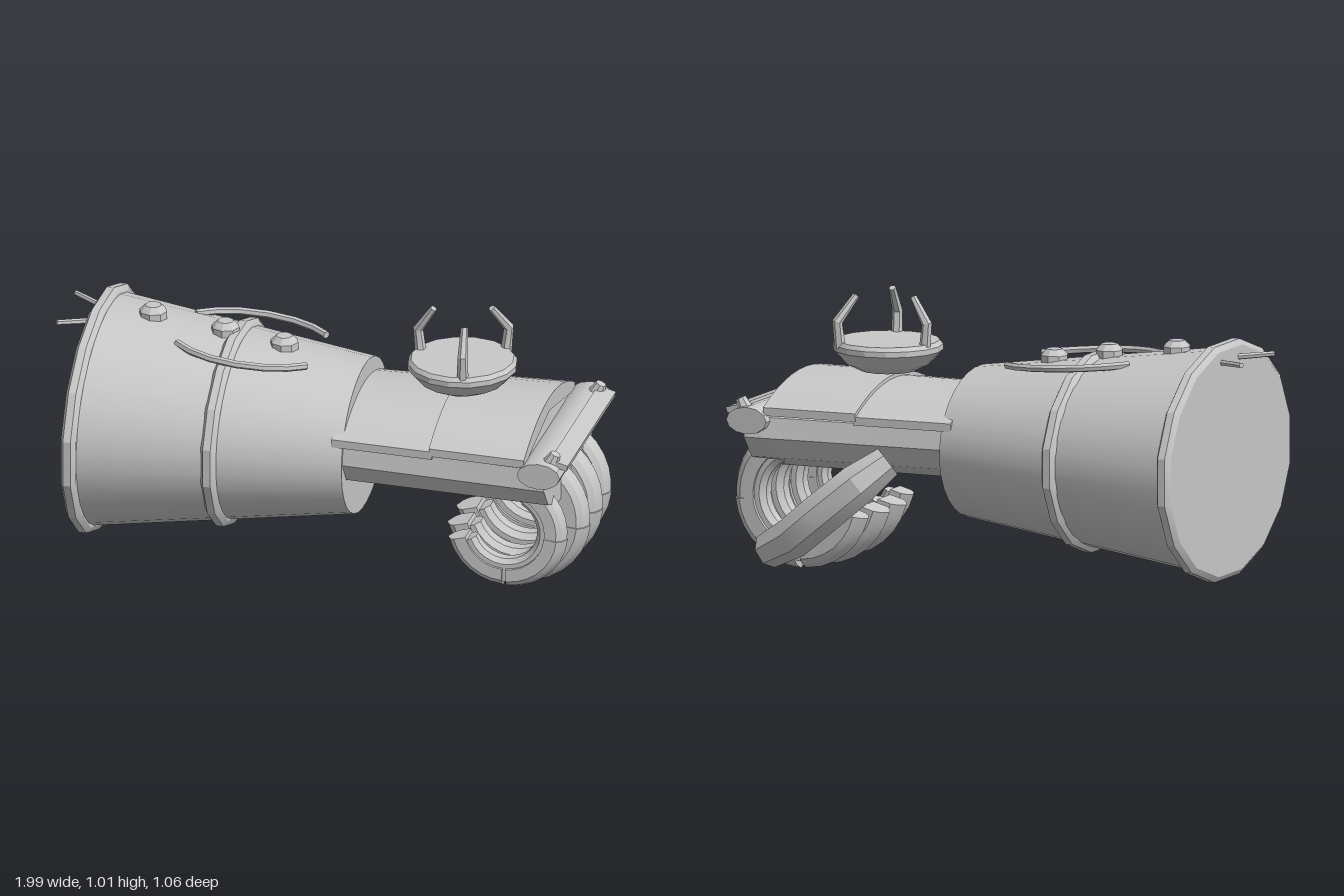
import * as THREE from 'three';
import { toCreasedNormals } from 'three/addons/utils/BufferGeometryUtils.js';

const metal = new THREE.MeshStandardMaterial({ color: 0xc8c8c8 });
metal.name = 'light grey metal';

function add(parent, name, geo) {
  const mesh = new THREE.Mesh(geo, metal);
  mesh.name = name;
  parent.add(mesh);
  return mesh;
}

// Closed solid through matching rings of [x, y, z] points, capped at both ends
function loft(rings, crease = 0.35) {
  const v = [], n = rings[0].length;
  const tri = (a, b, c) => v.push([a, b, c]);
  for (let i = 0; i < rings.length - 1; i++) {
    for (let j = 0; j < n; j++) {
      const k = (j + 1) % n, p = rings[i], q = rings[i + 1];
      tri(p[j], q[j], q[k]);
      tri(p[j], q[k], p[k]);
    }
  }
  const cap = (r, flip) => {
    const shape = r.map(p => new THREE.Vector3(...p));
    const mid = shape.reduce((s, p) => s.add(p), new THREE.Vector3()).divideScalar(n).toArray();
    for (let j = 0; j < n; j++) {
      const k = (j + 1) % n;
      flip ? tri(mid, r[k], r[j]) : tri(mid, r[j], r[k]);
    }
  };
  cap(rings[0], false);
  cap(rings[rings.length - 1], true);
  // Turn the solid outward if its signed volume is negative
  let vol = 0;
  const A = new THREE.Vector3(), B = new THREE.Vector3(), C = new THREE.Vector3();
  for (const [a, b, c] of v) vol += A.fromArray(a).dot(B.fromArray(b).cross(C.fromArray(c)));
  const pos = v.flatMap(([a, b, c]) => (vol < 0 ? [...a, ...c, ...b] : [...a, ...b, ...c]));
  const geo = new THREE.BufferGeometry();
  geo.setAttribute('position', new THREE.Float32BufferAttribute(pos, 3));
  return toCreasedNormals(geo, crease);
}

// Elliptical ring around the forearm axis; rz is the half width
function ellipse(x, rz, sides) {
  return Array.from({ length: sides }, (_, i) => {
    const a = ((i + 0.5) / sides) * Math.PI * 2;
    return [x, 0.485 + Math.cos(a) * rz * 0.815, Math.sin(a) * rz];
  });
}

// Bent rod through points, with one radius per point
function rod(points, radii, sides = 6) {
  const P = points.map(p => new THREE.Vector3(...p));
  const ref = new THREE.Vector3(0.31, 0.2, 0.93).normalize();
  return loft(P.map((p, i) => {
    const t = P[Math.min(i + 1, P.length - 1)].clone().sub(P[Math.max(i - 1, 0)]).normalize();
    const u = ref.clone().cross(t).normalize(), w = t.clone().cross(u);
    return Array.from({ length: sides }, (_, j) => {
      const a = (j / sides) * Math.PI * 2;
      return p.clone().addScaledVector(u, Math.cos(a) * radii[i])
        .addScaledVector(w, Math.sin(a) * radii[i]).toArray();
    });
  }));
}

function buildCuff(root) {
  const cuff = new THREE.Group();
  cuff.name = 'cuff';
  root.add(cuff);
  add(cuff, 'cuffBody', loft([[-0.86, 0.507], [0.12, 0.34]].map(([x, r]) => ellipse(x, r, 32))));
  const band = (name, x, r, h) => add(cuff, name,
    loft([[-h, r - 0.025], [-h * 0.5, r], [h * 0.5, r], [h, r - 0.025]].map(([d, s]) => ellipse(x + d, s, 16))));
  band('rearBand', -0.857, 0.54, 0.028);
  band('middleBand', -0.357, 0.452, 0.028);

  // Rivets along the top
  const profile = [[0, -0.04], [0.052, -0.04], [0.052, 0.008], [0.03, 0.03], [0, 0.03]];
  for (const [x, y] of [[-0.67, 0.883], [-0.4, 0.85], [-0.18, 0.815]]) {
    const geo = new THREE.LatheGeometry(profile.map(p => new THREE.Vector2(...p)), 8);
    add(cuff, 'rivet', toCreasedNormals(geo, 0.35)).position.set(x, y, 0);
  }
  for (const s of [-1, 1]) {
    // Curved side handles and rear prongs
    const path = [[-0.545, 0.14], [-0.48, 0.19], [-0.4, 0.223], [-0.3, 0.235], [-0.2, 0.222], [-0.12, 0.19], [-0.06, 0.145]];
    add(cuff, 'curvedRail', rod(path.map(([x, z]) => [x, 0.793 - x * 0.075, z * s]), path.map(() => 0.014)));
    add(cuff, 'rearProng', rod([[-0.995, 0.865, 0.14 * s], [-0.93, 0.86, 0.1 * s], [-0.87, 0.855, 0.065 * s]], [0.01, 0.011, 0.011]));
  }
}

function buildHand(root) {
  const hand = new THREE.Group();
  hand.name = 'hand';
  root.add(hand);
  // Palm block with a crowned top and tapering underside
  const section = (x, w, crown) => {
    const ring = [];
    for (let i = 0; i <= 10; i++) {
      const t = i / 5 - 1;
      ring.push([x, 0.575 + crown * (1 - t * t), t * w]);
    }
    ring.push([x, 0.5, w + 0.015], [x, 0.42, w * 0.86], [x, 0.37, w * 0.45],
      [x, 0.37, -w * 0.45], [x, 0.42, -w * 0.86], [x, 0.5, -w - 0.015]);
    return ring;
  };
  add(hand, 'palm', loft([section(0.1, 0.31, 0.09), section(0.8, 0.355, 0.09), section(0.81, 0.357, 0), section(0.885, 0.36, 0)]));

  // Overlapping curved back plates
  const plate = (x, w, y) => {
    const arc = Array.from({ length: 13 }, (_, i) => i / 6 - 1);
    const line = d => arc.map(t => [x, y + d + 0.095 * (1 - t * t), t * w]);
    return [...line(0), ...line(-0.03).reverse()];
  };
  add(hand, 'rearBackPlate', loft([plate(0.08, 0.33, 0.6), plate(0.46, 0.35, 0.6)]));
  add(hand, 'frontBackPlate', loft([plate(0.45, 0.352, 0.613), plate(0.81, 0.372, 0.613)]));

  // Knuckle roll, guard strip and end studs
  const roll = new THREE.CylinderGeometry(0.08, 0.08, 0.78, 12).toNonIndexed();
  roll.rotateX(Math.PI / 2);
  roll.scale(1, 0.62, 1);
  add(hand, 'knuckleRoll', toCreasedNormals(roll, 0.6)).position.set(0.868, 0.563, 0);
  const strip = add(hand, 'guardStrip', new THREE.BoxGeometry(0.07, 0.022, 0.7));
  strip.position.set(0.932, 0.598, 0);
  strip.rotation.z = -0.25;
  for (const s of [-1, 1]) {
    const stud = add(hand, 'endStud', toCreasedNormals(new THREE.CylinderGeometry(0.02, 0.036, 0.06, 8), 0.35));
    stud.position.set(0.905, 0.608, 0.33 * s);
    stud.rotation.z = -0.45;
  }
}

// Curled finger: a core swept round an arc, covered by ridged plates
function buildFinger(root, z, w, scale) {
  const finger = new THREE.Group();
  finger.name = 'finger';
  root.add(finger);
  const sweep = (profile, from, to) => {
    const steps = Math.max(2, Math.ceil(Math.abs(to - from) / 13));
    return loft(Array.from({ length: steps + 1 }, (_, i) => {
      const a = THREE.MathUtils.degToRad(from + ((to - from) * i) / steps);
      return profile.map(([r, d]) => [0.71 + Math.cos(a) * r * scale, 0.282 + Math.sin(a) * r * scale, z + d]);
    }));
  };
  const c = w * 0.75;
  add(finger, 'fingerCore', sweep([[0.25, c], [0.165, c], [0.145, c * 0.5], [0.145, -c * 0.5], [0.165, -c], [0.25, -c]], 60, -160));
  for (const [from, to, k, g] of [[60, -9, 0.93, 0], [-6, -88, 1, 0.003], [-93, -165, 0.96, 0]]) {
    const e = w * k;
    add(finger, 'fingerPlate', sweep([[0.28 + g, 0], [0.262 + g, e * 0.7], [0.24 + g, e], [0.185, e],
      [0.185, -e], [0.24 + g, -e], [0.262 + g, -e * 0.7]], from, to));
  }
}

function buildTopDish(root) {
  const dish = new THREE.Group();
  dish.name = 'topDish';
  dish.position.set(0.485, 0, 0);
  root.add(dish);
  const profile = [[0, 0.718], [0.1, 0.718], [0.155, 0.745], [0.2, 0.795], [0.2, 0.815], [0.188, 0.83], [0, 0.83]];
  add(dish, 'dish', toCreasedNormals(new THREE.LatheGeometry(profile.map(p => new THREE.Vector2(...p)), 16), 0.35));
  // Inward-bent prongs
  for (const [bx, bz, tx, tz] of [[-0.172, -0.045, -0.115, -0.03], [0.045, 0.172, 0.037, 0.115], [0.132, -0.138, 0.087, -0.085]]) {
    add(dish, 'dishProng', rod([[bx * 0.97, 0.81, bz * 0.97], [bx * 1.03, 0.905, bz * 1.03], [tx, 0.998, tz]], [0.021, 0.019, 0.013]));
  }
}

export function createModel() {
  const root = new THREE.Group();
  root.name = 'armouredGauntlet';
  buildCuff(root);
  buildHand(root);
  for (const f of [[0.23, 0.045, 0.81], [0.075, 0.056, 0.97], [-0.08, 0.061, 0.995], [-0.24, 0.055, 0.96]]) buildFinger(root, ...f);
  // Thumb
  add(root, 'thumb', rod([[0.34, 0.44, -0.31], [0.43, 0.36, -0.37], [0.57, 0.24, -0.4], [0.68, 0.15, -0.385], [0.8, 0.085, -0.35]],
    [0.06, 0.078, 0.08, 0.078, 0.066], 7));
  buildTopDish(root);
  return root;
}
